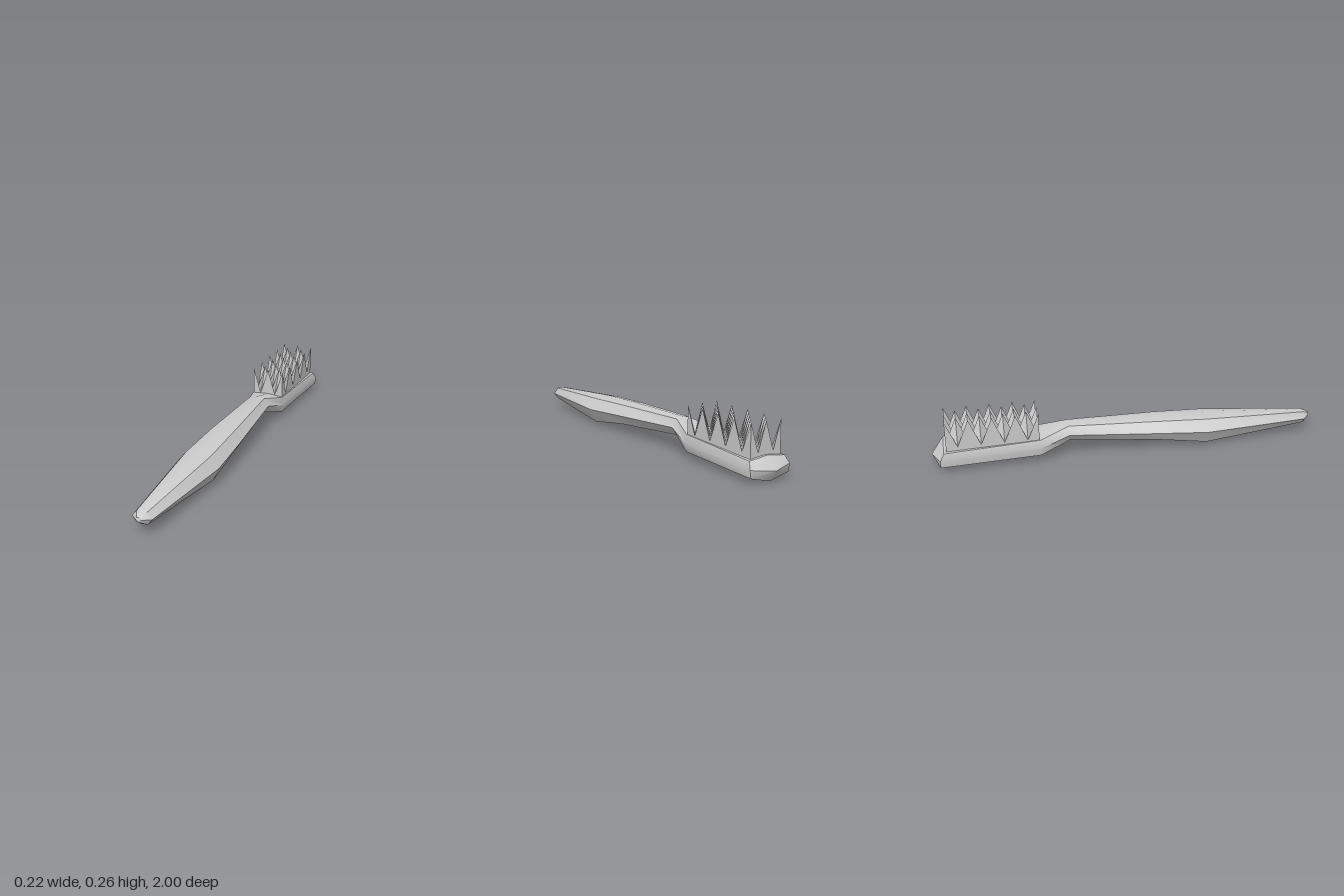
import * as THREE from 'three';
import { toCreasedNormals } from 'three/addons/utils/BufferGeometryUtils.js';

// Eight-sided sections along the brush:
// z, half widths (side, lower corner, upper corner), heights (bottom, lower corner, side, upper corner, top)
const SECTIONS = [
  [0.995, 0.012, 0.006, 0.006, 0.072, 0.074, 0.085, 0.096, 0.098],
  [0.96, 0.05, 0.027, 0.025, 0.047, 0.05, 0.08, 0.11, 0.115],
  [0.41, 0.11, 0.078, 0.065, 0.012, 0.015, 0.085, 0.14, 0.155],
  [0.15, 0.1, 0.07, 0.06, 0.045, 0.05, 0.1, 0.15, 0.163],
  [-0.31, 0.067, 0.04, 0.04, 0.077, 0.08, 0.12, 0.16, 0.168],
  [-0.46, 0.095, 0.088, 0.088, 0.03, 0.035, 0.075, 0.12, 0.127],
  [-0.96, 0.112, 0.107, 0.1, 0, 0.027, 0.065, 0.1, 0.113],
];

function ring([z, side, low, high, yb, yl, ys, yh, yt], isLast) {
  const zTop = isLast ? z + 0.02 : z; // the head's end leans in at the top
  return [
    [0, yb, z], [low, yl, z], [side, ys, z], [high, yh, zTop],
    [0, yt, zTop], [-high, yh, zTop], [-side, ys, z], [-low, yl, z],
  ];
}

// Handle, neck and head in one loft, closed with a fan at each end
function bodyGeometry() {
  const n = 8, rings = SECTIONS.length;
  const points = SECTIONS.flatMap((s, k) => ring(s, k === rings - 1));
  const front = points.push([0, 0.085, 1]) - 1;
  const back = points.push([0, 0.055, -1]) - 1;
  const index = [];
  for (let i = 0; i < n; i++) {
    const j = (i + 1) % n, last = (rings - 1) * n;
    index.push(front, i, j, back, last + j, last + i);
    for (let k = 0; k < rings - 1; k++) {
      const a = k * n + i, b = k * n + j;
      index.push(a, a + n, b, b, a + n, b + n);
    }
  }
  const geometry = new THREE.BufferGeometry();
  geometry.setAttribute('position', new THREE.Float32BufferAttribute(points.flat(), 3));
  geometry.setIndex(index);
  return toCreasedNormals(geometry, 0.6);
}

// Bristle block: a grid of alternating peaks and valleys with jagged walls
function bristleGeometry() {
  const nx = 4, nz = 8, base = 0.09, positions = [];
  const x = i => -0.085 + 0.17 * i / nx;
  const z = j => -0.927 + 0.462 * j / nz;
  const top = (i, j) => [x(i), (i + j) % 2 ? 0.125 : 0.265, z(j)];
  const foot = (i, j) => [x(i), base, z(j)];
  const tri = (...corners) => positions.push(...corners.flat());
  const wall = (i0, j0, i1, j1) => {
    tri(foot(i0, j0), foot(i1, j1), top(i1, j1));
    tri(foot(i0, j0), top(i1, j1), top(i0, j0));
  };
  for (let i = 0; i < nx; i++) {
    for (let j = 0; j < nz; j++) {
      const a = top(i, j), b = top(i, j + 1), c = top(i + 1, j + 1), d = top(i + 1, j);
      // split each cell along its valley so every peak is a pyramid
      if ((i + j) % 2) { tri(a, b, c); tri(a, c, d); }
      else { tri(a, b, d); tri(b, c, d); }
    }
    wall(i, nz, i + 1, nz);
    wall(i + 1, 0, i, 0);
  }
  for (let j = 0; j < nz; j++) {
    wall(0, j, 0, j + 1);
    wall(nx, j + 1, nx, j);
  }
  const geometry = new THREE.BufferGeometry();
  geometry.setAttribute('position', new THREE.Float32BufferAttribute(positions, 3));
  geometry.computeVertexNormals();
  return geometry;
}

export function createModel() {
  const group = new THREE.Group();
  group.name = 'brush';

  const body = new THREE.Mesh(bodyGeometry(), new THREE.MeshStandardMaterial({ color: 0xcccccc }));
  body.name = 'handleAndHead';

  const bristles = new THREE.Mesh(
    bristleGeometry(),
    new THREE.MeshStandardMaterial({ color: 0xcccccc, flatShading: true })
  );
  bristles.name = 'bristles';

  group.add(body, bristles);
  return group;
}
